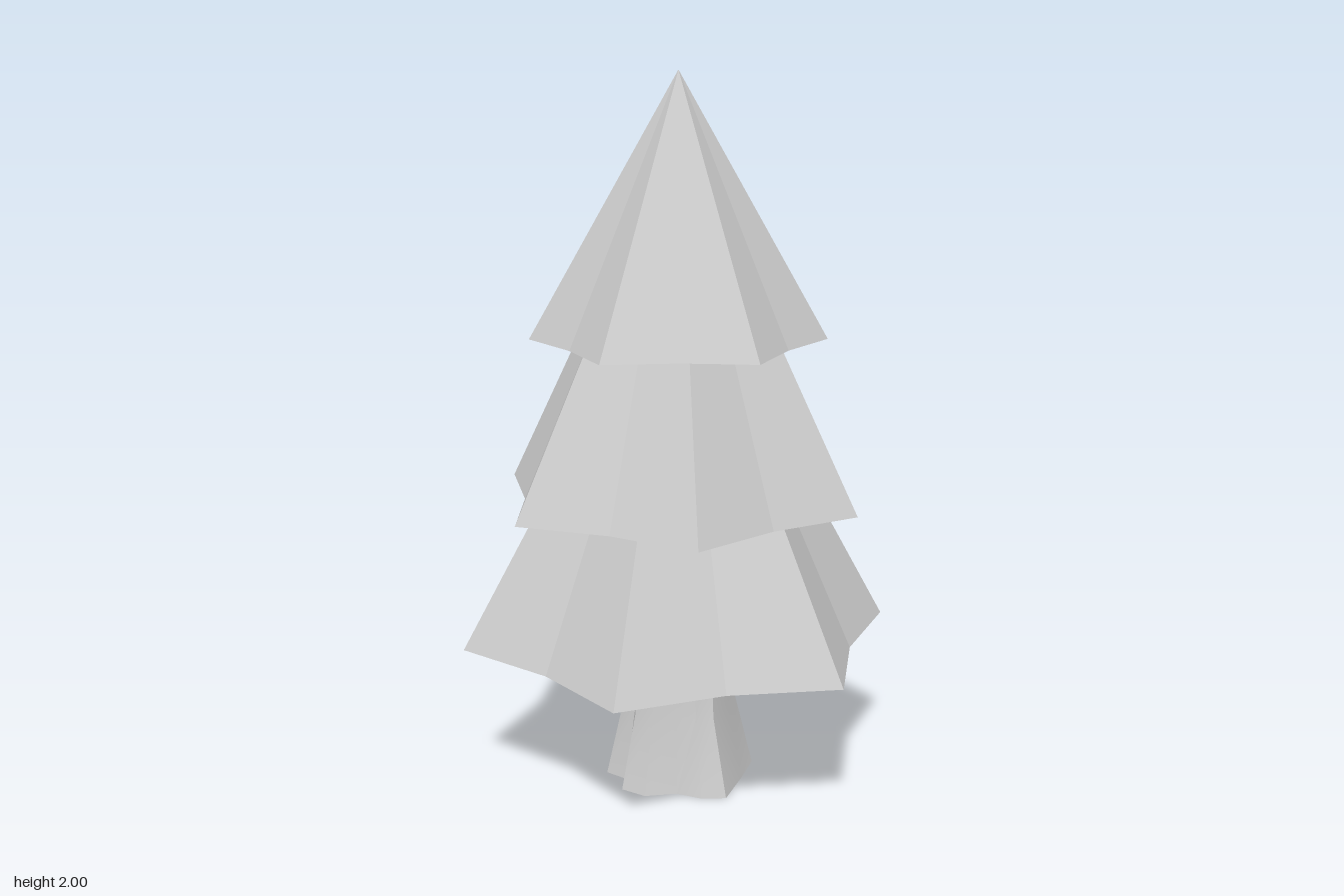
import * as THREE from 'three';
import { toCreasedNormals } from 'three/addons/utils/BufferGeometryUtils.js';

const grey = new THREE.MeshStandardMaterial({ color: 0xcccccc });
grey.name = 'light grey';

// Point on a ring: angle in degrees from +x towards +z
function polar(deg, radius, y) {
  const a = THREE.MathUtils.degToRad(deg);
  return new THREE.Vector3(Math.cos(a) * radius, y, Math.sin(a) * radius);
}

// Closed solid through a stack of rings, bottom to top, angles increasing
function loft(rings, crease) {
  const points = [];
  const n = rings[0].length;
  const triangle = (a, b, c) => points.push(a, b, c);
  for (let r = 0; r < rings.length - 1; r++) {
    for (let i = 0; i < n; i++) {
      const j = (i + 1) % n;
      const [lo, hi] = [rings[r], rings[r + 1]];
      triangle(lo[i], hi[i], lo[j]);
      // A ring shrunk to the apex needs one triangle per side only
      if (hi[i].distanceTo(hi[j]) > 1e-6) triangle(lo[j], hi[i], hi[j]);
    }
  }
  const bottom = rings[0];
  const top = rings[rings.length - 1];
  const bottomCentre = new THREE.Vector3(0, bottom[0].y, 0);
  const topCentre = new THREE.Vector3(0, top[0].y, 0);
  for (let i = 0; i < n; i++) {
    const j = (i + 1) % n;
    triangle(bottomCentre, bottom[i], bottom[j]);
    if (top[i].distanceTo(top[j]) > 1e-6) triangle(topCentre, top[j], top[i]);
  }
  const geometry = new THREE.BufferGeometry().setFromPoints(points);
  return toCreasedNormals(geometry, crease);
}

// Six-pointed star tier tapering straight to its top
function tier({ name, y0, y1, tip, notch, turn, taper }) {
  const ring = (y, scale) => Array.from({ length: 12 }, (_, i) =>
    polar(turn + i * 30, (i % 2 ? notch : tip) * scale, y));
  const mesh = new THREE.Mesh(loft([ring(y0, 1), ring(y1, taper)], 0.02), grey);
  mesh.name = name;
  return mesh;
}

// Uneven fluted trunk flaring into roots: [angle, base radius]
function trunk() {
  const outline = [
    [-151, 0.235], [-130, 0.195], [-110, 0.207], [-80, 0.2], [-62, 0.18],
    [-35, 0.22], [-2, 0.195], [32, 0.243], [48, 0.215], [67, 0.175],
    [92, 0.212], [113, 0.217], [128, 0.17], [146, 0.21], [160, 0.18], [180, 0.19],
  ];
  const ring = (y, radius, relief) => outline.map(([deg, r]) =>
    polar(deg, radius + (r - 0.2) * relief, y));
  const mesh = new THREE.Mesh(
    loft([ring(0, 0.2, 1), ring(0.22, 0.155, 0.55), ring(0.43, 0.148, 0.45)], 0.45), grey);
  mesh.name = 'trunk';
  return mesh;
}

export function createModel() {
  const tree = new THREE.Group();
  tree.name = 'pineTree';
  tree.add(
    trunk(),
    tier({ name: 'lowerBranches', y0: 0.425, y1: 0.832, tip: 0.617, notch: 0.497, turn: 20.9, taper: 0.635 }),
    tier({ name: 'middleBranches', y0: 0.83, y1: 1.277, tip: 0.53, notch: 0.43, turn: 0, taper: 0.57 }),
    tier({ name: 'topBranches', y0: 1.275, y1: 2, tip: 0.411, notch: 0.336, turn: -25.1, taper: 0 }),
  );
  return tree;
}
